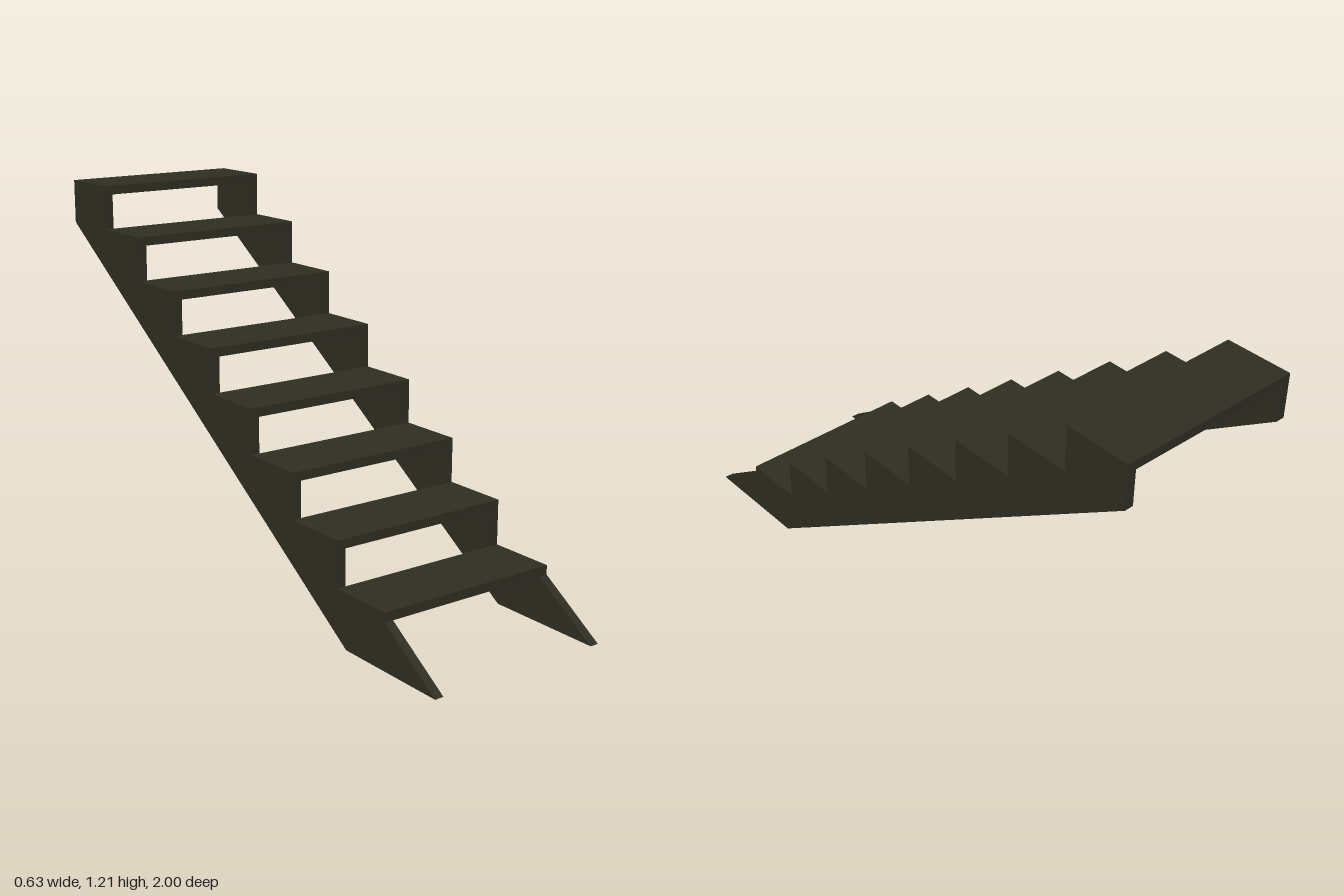
import * as THREE from 'three';

const STEPS = 8, RISE = 0.148, RUN = 2 / 9, THICK = 0.03, HALF = 0.314;

export function createModel() {
  const group = new THREE.Group();
  const wood = new THREE.MeshStandardMaterial({ color: 0x2e2d22 });
  wood.name = 'dark olive';
  const grey = new THREE.MeshStandardMaterial({ color: 0x77777a });
  grey.name = 'sole grey';

  // Sawtooth stringer outline, drawn as (z, y)
  const outline = new THREE.Shape();
  outline.moveTo(0.6, 0);
  outline.lineTo(1, 0);
  for (let i = 1; i <= STEPS; i++) {
    const front = 1 - RUN * i;
    if (i > 1) outline.lineTo(front, RISE * (i - 1));
    outline.lineTo(front, RISE * i);
  }
  outline.lineTo(-1, RISE * STEPS);
  outline.lineTo(-1, 1.065);
  outline.closePath();
  const stringerGeo = new THREE.ExtrudeGeometry(outline, { depth: THICK, bevelEnabled: false });
  stringerGeo.rotateY(-Math.PI / 2);
  stringerGeo.translate(THICK / 2, 0, 0);

  // Stringers with a thin sole under each foot
  const soleGeo = new THREE.BoxGeometry(THICK * 0.8, 0.002, 0.39);
  for (const [side, name] of [[1, 'left'], [-1, 'right']]) {
    const x = side * (HALF - THICK / 2);
    const stringer = new THREE.Mesh(stringerGeo, wood);
    stringer.name = name + 'Stringer';
    stringer.position.x = x;
    const sole = new THREE.Mesh(soleGeo, grey);
    sole.name = name + 'Sole';
    sole.position.set(x, 0.0005, 0.8);
    group.add(stringer, sole);
  }

  // Treads resting across both stringers
  const treadGeo = new THREE.BoxGeometry(HALF * 2, THICK, RUN);
  for (let i = 1; i <= STEPS; i++) {
    const tread = new THREE.Mesh(treadGeo, wood);
    tread.name = 'tread' + i;
    tread.position.set(0, RISE * i + THICK / 2, 1 - RUN * (i + 0.5));
    group.add(tread);
  }
  return group;
}
